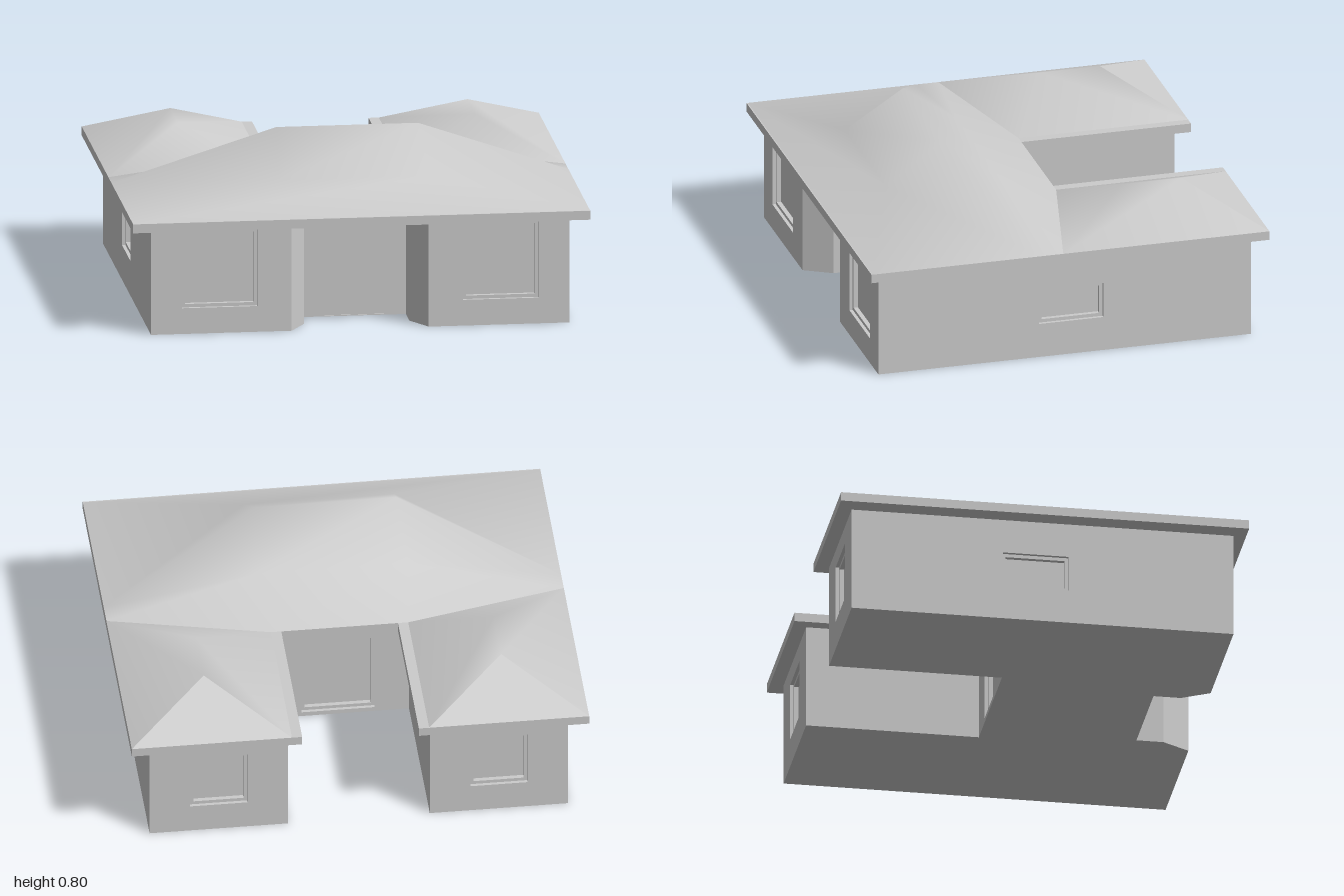
import * as THREE from 'three';

const grey = new THREE.MeshStandardMaterial({ color: 0xcccccc });
const greyTwoSided = new THREE.MeshStandardMaterial({ color: 0xcccccc, side: THREE.DoubleSide });
const WALL_H = 0.47, EAVE_Y = 0.51, THICK = 0.04;

function add(parent, name, geometry, material = grey) {
  const mesh = new THREE.Mesh(geometry, material);
  mesh.name = name;
  parent.add(mesh);
  return mesh;
}

function rectPath(x, y, w, h, Type = THREE.Path) {
  const v = [[x, y], [x + w, y], [x + w, y + h], [x, y + h]];
  return new Type(v.map(([a, b]) => new THREE.Vector2(a, b)));
}

// Flat plan outline (x, z) turned into a slab hanging down from the top height
function slab(points, top, depth) {
  const shape = new THREE.Shape(points.map(([x, z]) => new THREE.Vector2(x, z)));
  return new THREE.ExtrudeGeometry(shape, { depth, bevelEnabled: false })
    .rotateX(Math.PI / 2).translate(0, top, 0);
}

// Wall panel from a to b; each opening is { u, y, w, h, depth, door }, u being its centre along the wall
function wall(parent, name, a, b, openings = []) {
  const dx = b[0] - a[0], dz = b[1] - a[1], length = Math.hypot(dx, dz);
  const g = new THREE.Group();
  g.name = name;
  g.position.set(a[0], 0, a[1]);
  g.rotation.y = Math.atan2(-dz, dx);
  parent.add(g);

  const shape = rectPath(0, 0, length, WALL_H, THREE.Shape);
  for (const o of openings) shape.holes.push(rectPath(o.u - o.w / 2, o.y, o.w, o.h));
  add(g, 'wallPanel', new THREE.ExtrudeGeometry(shape, { depth: THICK, bevelEnabled: false })
    .translate(0, 0, -THICK));

  for (const o of openings) {
    const x = o.u - o.w / 2;
    if (o.door) {
      add(g, 'doorLeaf', new THREE.BoxGeometry(o.w, o.h, 0.03)
        .translate(o.u, o.y + o.h / 2, -0.02));
      continue;
    }
    // Frame set back in the opening, with the pane behind it
    const f = 0.015;
    const ring = rectPath(x, o.y, o.w, o.h, THREE.Shape);
    ring.holes.push(rectPath(x + f, o.y + f, o.w - 2 * f, o.h - 2 * f));
    add(g, 'windowFrame', new THREE.ExtrudeGeometry(ring, { depth: 0.03, bevelEnabled: false })
      .translate(0, 0, -0.045));
    add(g, 'windowPane', new THREE.BoxGeometry(o.w, o.h, 0.01)
      .translate(o.u, o.y + o.h / 2, -0.04));
  }
}

function indexed(points, faces) {
  const geo = new THREE.BufferGeometry();
  geo.setAttribute('position', new THREE.Float32BufferAttribute(points.flat(), 3));
  geo.setIndex(faces.flat());
  geo.computeVertexNormals();
  return geo;
}

// Main hipped roof: right half points, then the same points mirrored
function mainRoof() {
  const half = [
    [1, EAVE_Y, 0.89],       // 0 front corner
    [0.33, 0.625, 0.64],     // 1 front break in slope
    [0.31, 0.8, 0.385],      // 2 ridge end
    [0.33, 0.625, 0.14],     // 3 rear break in slope
    [0.3, EAVE_Y, -0.135],   // 4 rear eave
    [1, EAVE_Y, 0.13],       // 5 side eave
    [1, EAVE_Y, 0.03],       // 6 side valley
  ];
  const n = half.length;
  const points = [...half, ...half.map(([x, y, z]) => [-x, y, z])];
  const faces = [];
  for (let i = 0; i < 4; i++) {
    faces.push([i + n, i, i + 1], [i + n, i + 1, i + 1 + n]);
  }
  for (const [a, b, c] of [[2, 1, 5], [1, 0, 5], [2, 5, 3], [3, 5, 6], [3, 6, 4]]) {
    faces.push([a, b, c], [a + n, c + n, b + n]);
  }
  return indexed(points, faces);
}

// Rear wing roof: smooth sides and front hip, sharp rear hip
function wingRoof(s) {
  const points = [
    [1, EAVE_Y, 0.03], [1, EAVE_Y, -0.9], [0.3, EAVE_Y, -0.9], [0.3, EAVE_Y, -0.135],
    [0.65, 0.655, -0.33], [0.65, 0.655, -0.6],
    [1, EAVE_Y, -0.9], [0.3, EAVE_Y, -0.9], [0.65, 0.655, -0.6],
  ].map(([x, y, z]) => [s * x, y, z]);
  const faces = [
    [0, 1, 5], [0, 5, 4],
    [2, 3, 4], [2, 4, 5],
    [3, 0, 4],
    [6, 7, 8],
  ].map(([a, b, c]) => (s > 0 ? [a, b, c] : [a, c, b]));
  return indexed(points, faces);
}

export function createModel() {
  const house = new THREE.Group();
  house.name = 'house';

  // Wall outline, walked so that outside is always on the same hand
  const outline = [
    [-0.915, 0.84], [-0.3, 0.84], [-0.23, 0.72], [-0.23, 0.6],
    [0.23, 0.6], [0.23, 0.72], [0.3, 0.84], [0.915, 0.84],
    [0.915, -0.84], [0.31, -0.84], [0.31, -0.08],
    [-0.31, -0.08], [-0.31, -0.84], [-0.915, -0.84],
  ];
  const front = { y: 0.115, w: 0.33, h: 0.345 };
  const side = { y: 0.155, w: 0.29, h: 0.16 };
  const rear = { u: 0.3025, y: 0.13, w: 0.25, h: 0.26 };
  const openings = {
    0: [{ ...front, u: 0.3 }],
    3: [{ u: 0.23, y: 0.001, w: 0.275, h: 0.404, door: true }],
    6: [{ ...front, u: 0.315 }],
    7: [{ ...side, u: 0.87 }],
    8: [rear],
    10: [{ u: 0.31, y: 0.02, w: 0.32, h: 0.38 }],
    12: [rear],
    13: [{ ...side, u: 0.81 }],
  };
  const names = { 0: 'frontRightWall', 3: 'entryWall', 6: 'frontLeftWall', 7: 'leftWall',
    8: 'leftWingRearWall', 10: 'courtyardWall', 12: 'rightWingRearWall', 13: 'rightWall' };
  const walls = new THREE.Group();
  walls.name = 'walls';
  house.add(walls);
  outline.forEach((p, i) => {
    wall(walls, names[i] ?? 'plainWall', p, outline[(i + 1) % outline.length], openings[i]);
  });

  add(house, 'floor', slab(outline, 0.004, 0.004));

  // Eaves slab with the courtyard notch
  add(house, 'eaves', slab([
    [-1, 0.895], [1, 0.895], [1, -0.9], [0.255, -0.9],
    [0.255, -0.135], [-0.255, -0.135], [-0.255, -0.9], [-1, -0.9],
  ], EAVE_Y, EAVE_Y - WALL_H));

  add(house, 'mainRoof', mainRoof(), greyTwoSided);
  add(house, 'leftWingRoof', wingRoof(1), greyTwoSided);
  add(house, 'rightWingRoof', wingRoof(-1), greyTwoSided);
  return house;
}
